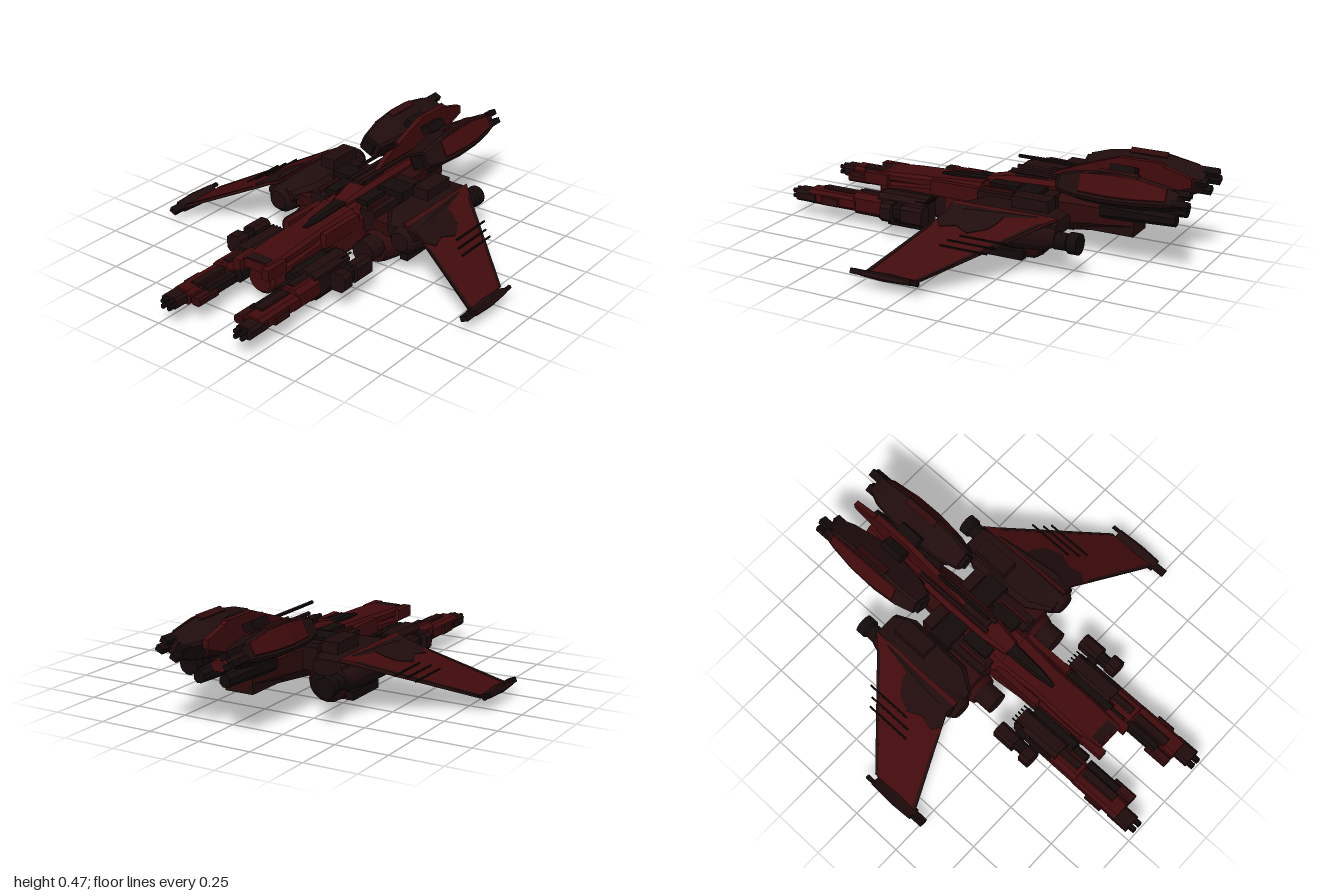
import * as THREE from 'three';

const mat = (name, color) => Object.assign(new THREE.MeshStandardMaterial({ color }), { name });

export function createModel() {
  const red = mat('hull red', 0x420b0d);
  const maroon = mat('deep maroon', 0x300a0b);
  const dark = mat('dark plating', 0x200c0d);
  const black = mat('gunmetal black', 0x140a0a);
  const model = new THREE.Group();
  model.name = 'starfighter';

  // Adds a flat shaded part; pair = true also adds its mirror image
  function add(name, geo, material, pair = false) {
    const g = geo.index ? geo.toNonIndexed() : geo;
    g.computeVertexNormals();
    const put = (geometry, label) => {
      const m = new THREE.Mesh(geometry, material);
      m.name = label;
      model.add(m);
    };
    if (!pair) return put(g, name);
    put(g, name + 'Left');
    const r = g.clone(), p = r.attributes.position, a = new THREE.Vector3(), b = new THREE.Vector3();
    r.scale(-1, 1, 1);
    for (let i = 0; i < p.count; i += 3) {
      a.fromBufferAttribute(p, i + 1);
      b.fromBufferAttribute(p, i + 2);
      p.setXYZ(i + 1, b.x, b.y, b.z);
      p.setXYZ(i + 2, a.x, a.y, a.z);
    }
    r.computeVertexNormals();
    put(r, name + 'Right');
  }

  // Box given by its limits on each axis
  const box = (x0, x1, y0, y1, z0, z1) => new THREE.BoxGeometry(x1 - x0, y1 - y0, z1 - z0)
    .translate((x0 + x1) / 2, (y0 + y1) / 2, (z0 + z1) / 2);

  // Round body along z: profile of [z, radius] from back to front
  const turned = (x, y, profile, sides = 16) => new THREE.LatheGeometry(
    [[profile[0][0], 0], ...profile, [profile.at(-1)[0], 0]].map(([z, r]) => new THREE.Vector2(r, z)), sides)
    .rotateX(Math.PI / 2).translate(x, y, 0);
  const rod = (x, y, z0, z1, r) => turned(x, y, [[z0, r], [z1, r]], 6);

  // Chamfered loft along z: sections [z, x0, x1, y0, y1, chamfer] from front to back
  function loft(sections) {
    const rings = sections.map(([z, x0, x1, y0, y1, c]) => [
      [x1, y0 + c], [x1, y1 - c], [x1 - c, y1], [x0 + c, y1],
      [x0, y1 - c], [x0, y0 + c], [x0 + c, y0], [x1 - c, y0]].map(([x, y]) => [x, y, z]));
    const v = [];
    for (let i = 0; i < rings.length - 1; i++) {
      for (let k = 0; k < 8; k++) {
        const n = (k + 1) % 8;
        const [a, b, c, d] = [rings[i][k], rings[i][n], rings[i + 1][k], rings[i + 1][n]];
        v.push(...a, ...c, ...b, ...b, ...c, ...d);
      }
    }
    const first = rings[0], last = rings.at(-1);
    for (let k = 1; k < 7; k++) {
      v.push(...first[0], ...first[k], ...first[k + 1]);
      v.push(...last[0], ...last[k + 1], ...last[k]);
    }
    return new THREE.BufferGeometry().setAttribute('position', new THREE.Float32BufferAttribute(v, 3));
  }

  // Drooped wing plate from an (x, z) outline
  function wingPlate(points, lift, thick) {
    const shape = new THREE.Shape(points.map(([x, z]) => new THREE.Vector2(x, -z)));
    const g = new THREE.ExtrudeGeometry(shape, { depth: thick, bevelEnabled: false }).rotateX(-Math.PI / 2);
    const p = g.attributes.position;
    for (let i = 0; i < p.count; i++) p.setY(i, p.getY(i) + lift + 0.24 - 0.44 * (p.getX(i) - 0.42));
    return g;
  }

  // Central fuselage and nose
  add('fuselage', loft([[0.6, -0.07, 0.07, 0.06, 0.21, 0.04], [0.52, -0.09, 0.09, 0.05, 0.225, 0.045],
    [0.3, -0.095, 0.095, 0.05, 0.24, 0.04], [0.05, -0.12, 0.12, 0.06, 0.26, 0.04],
    [-0.1, -0.12, 0.12, 0.08, 0.285, 0.05]]), red);
  add('rearFuselage', loft([[-0.1, -0.12, 0.12, 0.08, 0.285, 0.05], [-0.4, -0.1, 0.1, 0.11, 0.3, 0.05],
    [-0.7, -0.07, 0.07, 0.14, 0.28, 0.04]]), maroon);
  add('noseDisc', turned(0, 0.13, [[0.5, 0.075], [0.6, 0.075], [0.615, 0.06]], 20), red);
  add('noseHood', loft([[0.645, -0.08, 0.08, 0.185, 0.23, 0.012], [0.45, -0.085, 0.085, 0.19, 0.243, 0.015],
    [0.25, -0.08, 0.08, 0.19, 0.252, 0.015], [0.05, -0.1, 0.1, 0.2, 0.268, 0.02]]), red);
  add('noseCheek', box(0.06, 0.1, 0.175, 0.228, 0.55, 0.675), red, true);
  add('noseSidePlate', box(0.088, 0.102, 0.08, 0.17, 0.1, 0.5), dark, true);
  add('noseVent', box(-0.055, 0.055, 0.225, 0.234, 0.585, 0.64), dark);
  add('canopy', loft([[0.3, -0.01, 0.01, 0.23, 0.258, 0.005], [0.2, -0.025, 0.025, 0.24, 0.275, 0.01],
    [0.04, -0.033, 0.033, 0.25, 0.285, 0.01]]), black);
  add('shoulderRail', box(0.09, 0.12, 0.18, 0.25, 0.05, 0.3), red, true);
  add('bellyKeel', box(-0.05, 0.05, 0.045, 0.07, -0.05, 0.45), dark);

  // Spine and the machinery beside it
  add('dorsalBlock', loft([[0.04, -0.04, 0.04, 0.24, 0.285, 0.01], [-0.08, -0.06, 0.06, 0.24, 0.31, 0.02],
    [-0.3, -0.065, 0.065, 0.26, 0.32, 0.02], [-0.85, -0.04, 0.04, 0.26, 0.31, 0.02]]), red);
  add('dorsalPatch', box(-0.035, 0.035, 0.3, 0.324, -0.26, -0.1), dark);
  add('coreMachinery', box(0.1, 0.18, 0.16, 0.265, -0.35, 0.02), dark, true);
  add('coreCrossBlock', box(0.05, 0.2, 0.24, 0.295, -0.28, -0.17), black, true);
  add('coreRearBlock', box(0.06, 0.18, 0.24, 0.285, -0.345, -0.29), dark, true);
  add('coreShoulder', box(0.06, 0.12, 0.24, 0.29, -0.15, -0.01), black, true);
  add('coreRib', box(0.135, 0.15, 0.255, 0.28, -0.15, 0.01), maroon, true);

  // Tail
  add('tailBlock', box(-0.07, 0.07, 0.13, 0.2, -0.7, -0.45), dark);
  add('tailNozzle', loft([[-0.55, 0.02, 0.1, 0.2, 0.28, 0.02], [-0.75, 0.03, 0.1, 0.21, 0.28, 0.02],
    [-0.9, 0.04, 0.09, 0.215, 0.27, 0.015]]), black, true);

  // Dorsal fin with its long barrels
  const fin = new THREE.Shape([[0.2, 0.29], [0.3, 0.36], [0.4, 0.4], [0.6, 0.47], [0.8, 0.47], [0.81, 0.455],
    [0.94, 0.42], [0.94, 0.38], [0.7, 0.3]].map(p => new THREE.Vector2(...p)));
  add('dorsalFin', new THREE.ExtrudeGeometry(fin, { depth: 0.026, bevelEnabled: false })
    .translate(0, 0, -0.013).rotateY(Math.PI / 2), red);
  add('finBarrel', rod(0, 0.397, -0.55, -0.1, 0.009), black);
  add('spineBarrel', rod(0.03, 0.335, -0.5, -0.08, 0.012), dark, true);

  // Tilted rear pods: built upright about their own axis, then rolled outward
  const pod = (name, geo, material) => add(name, geo.rotateZ(0.45).translate(0.143, 0.37, 0), material, true);
  pod('rearPod', loft([[-0.39, -0.055, 0.045, -0.055, 0.03, 0.012], [-0.48, -0.075, 0.065, -0.07, 0.05, 0.012],
    [-0.6, -0.08, 0.075, -0.075, 0.064, 0.012], [-0.75, -0.08, 0.075, -0.07, 0.062, 0.012],
    [-0.88, -0.065, 0.065, -0.055, 0.045, 0.012], [-0.95, -0.04, 0.055, -0.04, 0.03, 0.01]]), dark);
  pod('podFlank', loft([[-0.5, 0.06, 0.072, -0.045, 0.04, 0.004], [-0.64, 0.07, 0.083, -0.05, 0.05, 0.004],
    [-0.76, 0.07, 0.083, -0.045, 0.05, 0.004], [-0.9, 0.055, 0.068, -0.03, 0.03, 0.004]]), red);
  pod('podInnerArmour', loft([[-0.45, -0.078, -0.06, -0.05, 0.02, 0.004], [-0.6, -0.086, -0.07, -0.05, 0.04, 0.004],
    [-0.82, -0.082, -0.06, -0.04, 0.035, 0.004]]), maroon);
  pod('podTopArmour', box(0.035, 0.068, 0.05, 0.07, -0.76, -0.58), maroon);
  pod('podSensorStem', box(-0.065, -0.045, 0.05, 0.08, -0.66, -0.62), black);
  pod('podSensor', box(-0.085, -0.035, 0.07, 0.11, -0.7, -0.58), black);
  pod('podIntake', box(-0.035, 0.03, -0.04, 0.02, -0.4, -0.37), black);
  for (const [x, y, end] of [[-0.035, 0.015, -0.97], [0.03, 0.02, -1], [0.035, -0.025, -1], [-0.03, -0.03, -0.98]])
    pod('podExhaustFang', box(x - 0.014, x + 0.024, y - 0.012, y + 0.014, end, -0.86), black);
  for (const z of [-0.5, -0.65])
    add('podPylon', box(-0.06, 0.06, -0.012, 0.012, z - 0.04, z + 0.04).rotateZ(0.6).translate(0.08, 0.32, 0), black, true);

  // Lower main engines
  add('mainEngine', turned(0.2, 0.105, [[-0.33, 0.075], [-0.3, 0.095], [-0.1, 0.102], [0, 0.085], [0.05, 0.07]]), maroon, true);
  add('mainEngineBand', turned(0.2, 0.105, [[-0.22, 0.104], [-0.12, 0.104]]), dark, true);
  add('mainEngineNozzle', turned(0.2, 0.105, [[-0.345, 0.06], [-0.33, 0.065]]), black, true);
  add('engineIntake', turned(0.205, 0.12, [[0, 0.07], [0.03, 0.056], [0.14, 0.056]]), dark, true);
  add('engineCowl', box(0.12, 0.27, 0.17, 0.23, -0.33, 0.02), maroon, true);
  add('engineFoot', box(0.28, 0.32, 0.03, 0.07, -0.28, -0.05), black, true);

  // Wing root nacelles
  add('wingNacelle', turned(0.35, 0.185, [[-0.47, 0.045], [-0.4, 0.07], [-0.3, 0.08], [-0.05, 0.08], [0.03, 0.07], [0.06, 0.045]]), dark, true);
  add('nacelleNozzle', turned(0.35, 0.17, [[-0.575, 0.048], [-0.53, 0.048], [-0.52, 0.038], [-0.46, 0.04]]), black, true);
  add('wingRoot', loft([[0.04, 0.27, 0.42, 0.19, 0.24, 0.015], [-0.06, 0.2, 0.44, 0.18, 0.265, 0.025],
    [-0.38, 0.19, 0.4, 0.18, 0.27, 0.025], [-0.47, 0.23, 0.37, 0.19, 0.26, 0.02]]), dark, true);
  add('rootTurret', box(0.23, 0.31, 0.25, 0.32, -0.4, -0.22), dark, true);

  // Drooping wings: red above, dark below, with camouflage and a dark front edge
  const outline = [[0.36, -0.47], [0.4, -0.43], [0.82, -0.04], [0.82, 0.2], [0.42, 0.03], [0.36, 0.04]];
  add('wingSkin', wingPlate(outline, 0, 0.008), red, true);
  add('wingUnderside', wingPlate(outline, -0.008, 0.008), dark, true);
  add('wingCamouflage', wingPlate([[0.38, -0.24], [0.44, -0.23], [0.49, -0.2], [0.53, -0.12],
    [0.5, -0.05], [0.52, 0.02], [0.48, 0.056], [0.42, 0.03], [0.38, 0.04]], 0.006, 0.005), dark, true);
  add('wingRearTrim', wingPlate([[0.41, -0.42], [0.82, -0.05], [0.82, -0.035], [0.41, -0.4]], 0.004, 0.006), dark, true);
  add('wingFrontTrim', wingPlate([[0.52, 0.06], [0.82, 0.185], [0.82, 0.205], [0.5, 0.065]], 0.004, 0.006), dark, true);
  for (const [x, z] of [[0.55, -0.33], [0.585, -0.29], [0.62, -0.27]])
    add('wingSpike', rod(x, 0.25 - 0.44 * (x - 0.42), z, z + 0.23, 0.005), black, true);

  // Wing tip guns
  const tip = (name, geo, material) => add(name, geo.rotateZ(0.4).translate(0.835, 0.063, 0), material, true);
  tip('tipPod', loft([[0.21, -0.03, 0.03, -0.013, 0.013, 0.006], [0.1, -0.035, 0.035, -0.018, 0.018, 0.008],
    [-0.03, -0.015, 0.03, -0.012, 0.012, 0.006]]), dark);
  tip('tipCannon', box(-0.02, 0.018, -0.012, 0.012, 0.2, 0.27), black);
  tip('tipRearAntenna', rod(0.018, 0, -0.07, 0, 0.011), black);

  // Forward weapon arms
  const arms = [
    ['armRoot', 0.09, 0.15, 0.08, 0.17, 0.3, 0.55, black],
    ['armBreech', 0.13, 0.23, 0.045, 0.185, 0.27, 0.52, dark],
    ['armLowerPlate', 0.15, 0.21, 0.03, 0.06, 0.27, 0.48, black],
    ['armSidePlate', 0.215, 0.24, 0.08, 0.15, 0.3, 0.5, dark],
    ['armMid', 0.14, 0.24, 0.06, 0.165, 0.5, 0.65, red],
    ['armMidInset', 0.1, 0.15, 0.075, 0.14, 0.5, 0.62, black],
    ['armMidCap', 0.16, 0.2, 0.14, 0.172, 0.5, 0.63, dark],
    ['armFore', 0.15, 0.245, 0.075, 0.145, 0.64, 0.9, red],
    ['armInnerGun', 0.11, 0.16, 0.08, 0.135, 0.64, 0.82, black],
    ['armInnerMuzzle', 0.095, 0.145, 0.085, 0.125, 0.78, 0.9, maroon],
    ['armForeCap', 0.155, 0.2, 0.13, 0.155, 0.66, 0.84, dark],
    ['armCheek', 0.235, 0.26, 0.085, 0.13, 0.73, 0.82, maroon],
    ['armMuzzleBlock', 0.165, 0.25, 0.08, 0.135, 0.86, 0.97, dark],
    ['outerLauncher', 0.255, 0.325, 0.09, 0.18, 0.23, 0.34, dark],
    ['outerLauncherBarrel', 0.26, 0.31, 0.1, 0.17, 0.34, 0.4, black],
    ['outerLauncherFront', 0.255, 0.335, 0.09, 0.178, 0.39, 0.445, dark],
    ['launcherStrut', 0.22, 0.27, 0.12, 0.15, 0.3, 0.35, black],
  ];
  for (const [name, x0, x1, y0, y1, z0, z1, m] of arms) {
    const c = Math.min(x1 - x0, y1 - y0) * 0.22;
    add(name, loft([[z1, x0, x1, y0, y1, c], [z0, x0, x1, y0, y1, c]]), m, true);
  }
  for (const x of [0.185, 0.22]) for (const y of [0.095, 0.12])
    add('gunMuzzle', rod(x, y, 0.94, 1, 0.012), black, true);
  for (let i = 0; i < 5; i++) add('armCoolingPin', rod(0.14 + i * 0.02, 0.175, 0.25, 0.32, 0.004), black, true);

  return model;
}
